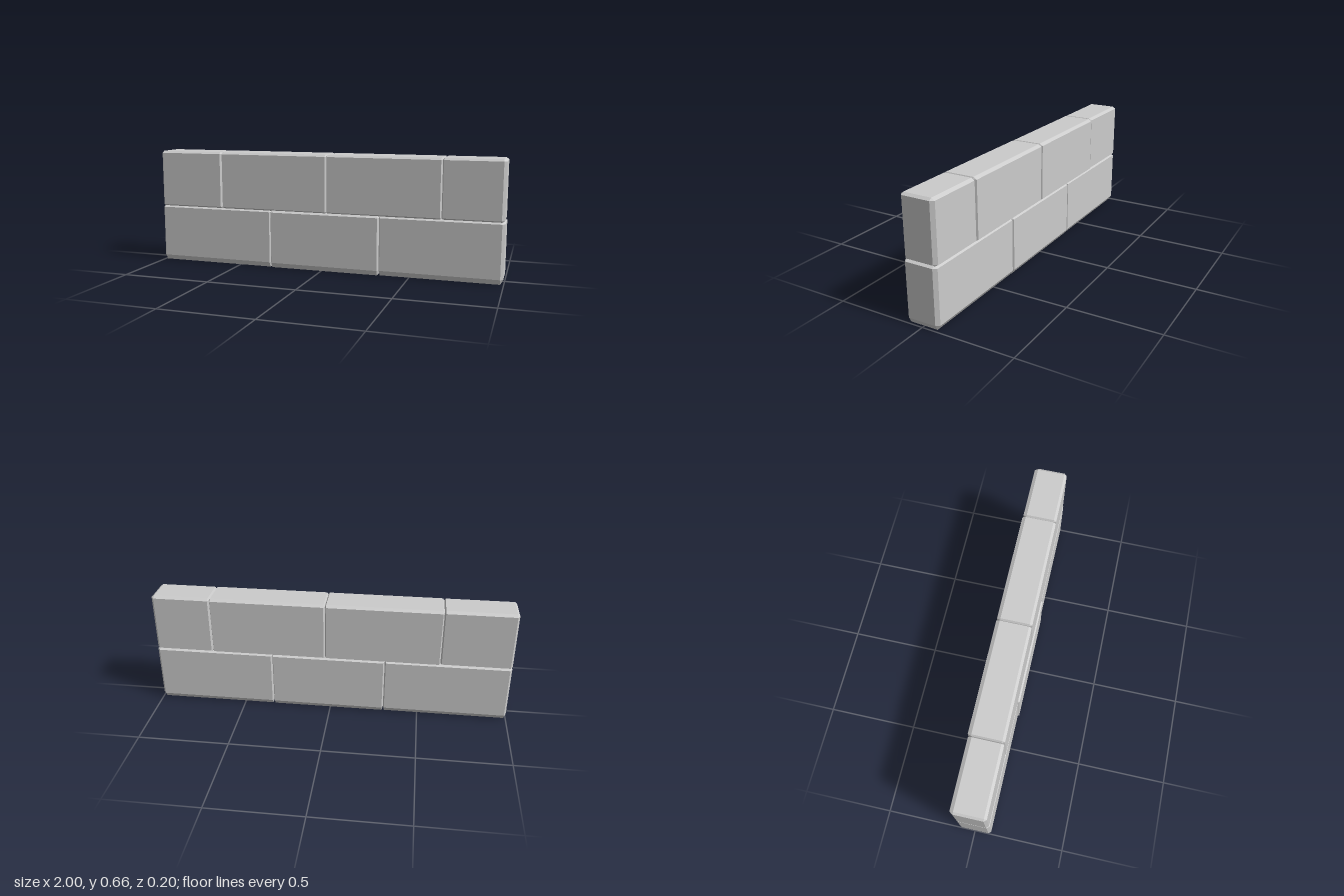
import * as THREE from 'three';
import { ConvexGeometry } from 'three/addons/geometries/ConvexGeometry.js';

// Chamfered block between two corners; bevels are given per side as [low, high]
function blockGeometry(lo, hi, bevel) {
  const points = [];
  for (let corner = 0; corner < 8; corner++) {
    const side = [corner & 1, (corner >> 1) & 1, (corner >> 2) & 1];
    // Each corner gives three points, one on each of the faces meeting there
    for (let face = 0; face < 3; face++) {
      const p = side.map((s, axis) => {
        const inset = axis === face ? 0 : bevel[axis][s];
        return s ? hi[axis] - inset : lo[axis] + inset;
      });
      points.push(new THREE.Vector3(...p));
    }
  }
  return new ConvexGeometry(points);
}

export function createModel() {
  const wall = new THREE.Group();
  wall.name = 'brickWall';
  const material = new THREE.MeshStandardMaterial({ color: 0xcccccc, flatShading: true });

  // Each course: height range, vertical bevels, and bricks as [x0, x1, z back, z front]
  const courses = [
    {
      name: 'lowerBrick', y: [0.002, 0.332], bevelY: [0.028, 0.009],
      bricks: [
        [-1.0, -0.305, -0.094, 0.092],
        [-0.305, 0.33, -0.096, 0.1],
        [0.33, 0.997, -0.094, 0.093],
      ],
    },
    {
      name: 'upperBrick', y: [0.329, 0.658], bevelY: [0.01, 0.011],
      bricks: [
        [-1.0, -0.61, -0.095, 0.09],
        [-0.61, 0.028, -0.1, 0.091],
        [0.028, 0.668, -0.099, 0.092],
        [0.668, 0.994, -0.096, 0.091],
      ],
    },
  ];

  for (const { name, y, bevelY, bricks } of courses) {
    bricks.forEach(([x0, x1, z0, z1], i) => {
      // Wider bevels on the exposed wall ends, narrow ones at the joints
      const bevelX = [i === 0 ? 0.012 : 0.007, i === bricks.length - 1 ? 0.015 : 0.007];
      const geometry = blockGeometry([x0, y[0], z0], [x1, y[1], z1], [bevelX, bevelY, [0.019, 0.014]]);
      const brick = new THREE.Mesh(geometry, material);
      brick.name = name + (i + 1);
      wall.add(brick);
    });
  }
  return wall;
}
